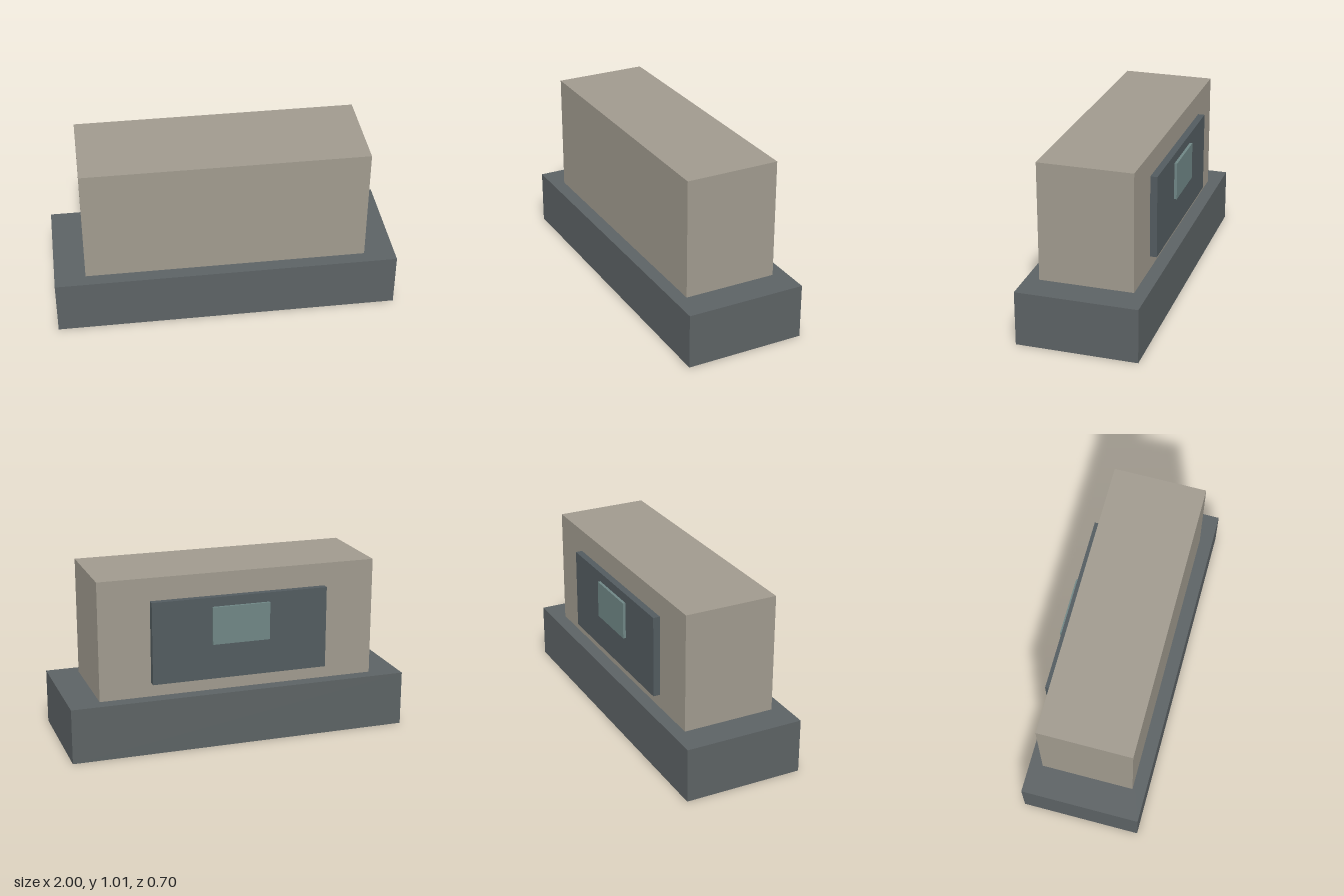
import * as THREE from 'three';

// Box given by its width and its y and z extents, centred on x
function slab(name, color, width, [y0, y1], [z0, z1]) {
  const mesh = new THREE.Mesh(
    new THREE.BoxGeometry(width, y1 - y0, z1 - z0),
    new THREE.MeshStandardMaterial({ color })
  );
  mesh.name = name;
  mesh.position.set(0, (y0 + y1) / 2, (z0 + z1) / 2);
  return mesh;
}

export function createModel() {
  const model = new THREE.Group();
  model.name = 'console';
  model.add(
    // Wide plinth with the main block standing on it
    slab('base', 0x5c6264, 2, [0, 0.32], [-0.35, 0.35]),
    slab('body', 0xa09a8e, 1.64, [0.32, 1.013], [-0.272, 0.272]),
    // Raised panel on the back, with a small screen on it
    slab('backPanel', 0x525b5f, 1.04, [0.4, 0.88], [-0.312, -0.272]),
    slab('screen', 0x6f8685, 0.34, [0.607, 0.826], [-0.328, -0.312])
  );
  return model;
}
